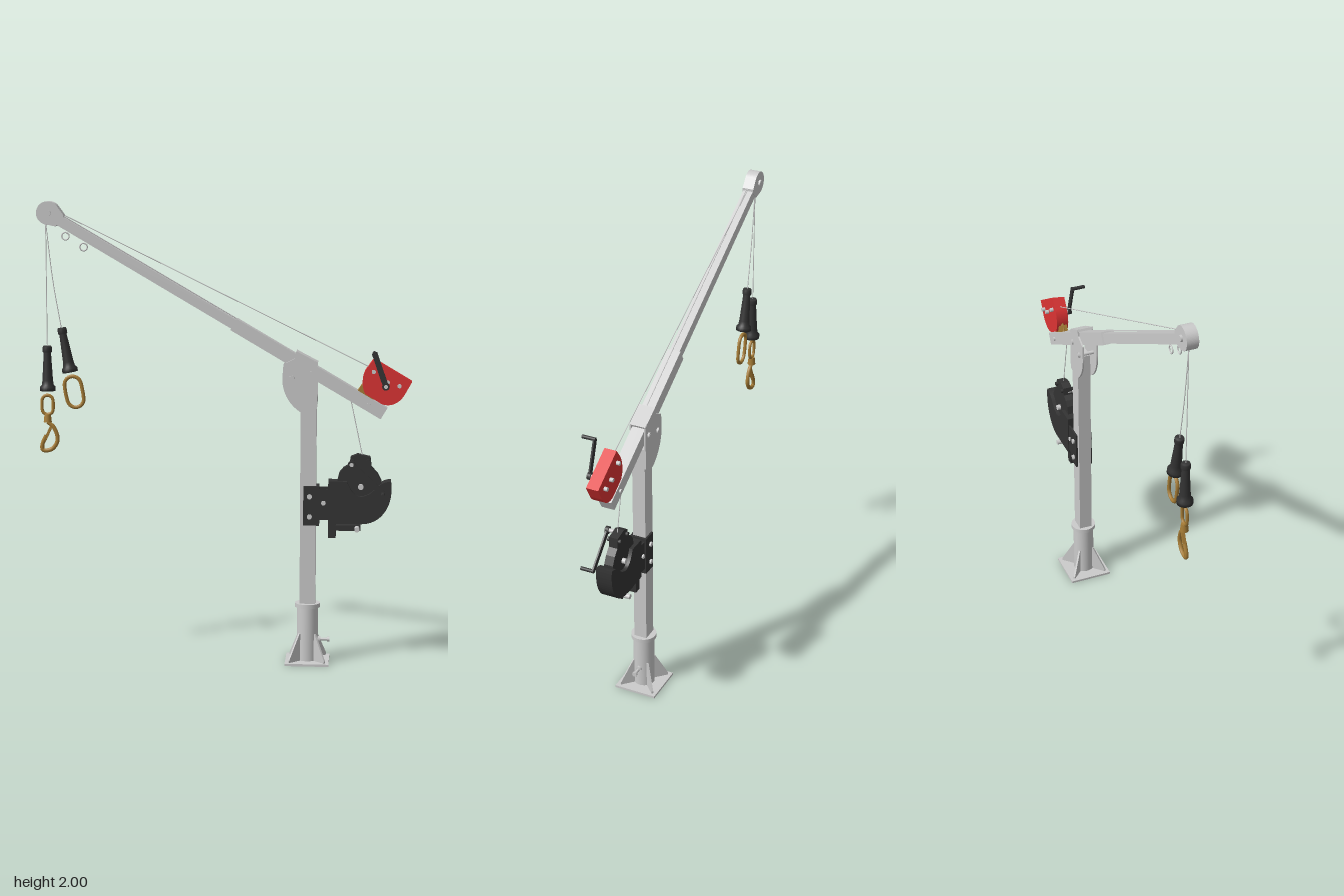
import * as THREE from 'three';

const mat = (color) => new THREE.MeshStandardMaterial({ color, side: THREE.DoubleSide });
const grey = mat(0xcccccc), black = mat(0x333333), red = mat(0xdd3333), gold = mat(0xa67c35);
const V = (x, y, z = 0) => new THREE.Vector3(x, y, z);

export function createModel() {
  const model = new THREE.Group();
  model.name = 'davitCrane';
  const root = new THREE.Group();
  root.name = 'craneAssembly';
  root.position.z = -0.017;
  model.add(root);

  const add = (name, geo, m, x = 0, y = 0, z = 0, rz = 0) => {
    const mesh = new THREE.Mesh(geo, m);
    mesh.name = name;
    mesh.position.set(x, y, z);
    mesh.rotation.z = rz;
    root.add(mesh);
    return mesh;
  };
  const box = (name, w, h, d, m, x, y, z = 0, rz = 0) => add(name, new THREE.BoxGeometry(w, h, d), m, x, y, z, rz);
  // Bar of rectangular section between two points in a plane of constant z
  const bar = (name, a, b, h, d, m, z = 0) =>
    box(name, Math.hypot(b[0] - a[0], b[1] - a[1]), h, d, m, (a[0] + b[0]) / 2, (a[1] + b[1]) / 2, z,
      Math.atan2(b[1] - a[1], b[0] - a[0]));
  // Cylinder along z, from z0 to z1
  const pin = (name, x, y, r, z0, z1, m, sides = 16) =>
    add(name, new THREE.CylinderGeometry(r, r, z1 - z0, sides).rotateX(Math.PI / 2), m, x, y, (z0 + z1) / 2);
  // Flat shape in xy, extruded symmetrically about z
  const plate = (name, shape, depth, m, z = 0) => {
    const s = Array.isArray(shape) ? new THREE.Shape(shape.map((p) => new THREE.Vector2(...p))) : shape;
    const geo = new THREE.ExtrudeGeometry(s, { depth, bevelEnabled: false, curveSegments: 20 });
    return add(name, geo.translate(0, 0, -depth / 2), m, 0, 0, z);
  };
  const tube = (name, pts, r, m, closed = false) =>
    add(name, new THREE.TubeGeometry(new THREE.CatmullRomCurve3(pts, closed), pts.length > 2 ? 40 : 1, r, 8, closed), m);

  // Base: plate, socket, collar, gussets, locking pin
  const px = 0.363;
  box('basePlate', 0.19, 0.01, 0.19, grey, px, 0.005);
  add('baseSocket', new THREE.CylinderGeometry(0.046, 0.046, 0.25, 32), grey, px, 0.13);
  add('socketCollar', new THREE.CylinderGeometry(0.055, 0.055, 0.018, 32), grey, px, 0.254);
  for (let i = 0; i < 4; i++) {
    const g = plate('baseGusset', [[0.04, 0.008], [0.11, 0.008], [0.11, 0.02], [0.05, 0.13], [0.04, 0.13]], 0.008, grey);
    g.position.x = px;
    g.rotation.y = Math.PI / 4 + i * Math.PI / 2;
  }
  add('lockingPin', new THREE.CylinderGeometry(0.006, 0.006, 0.06, 10), grey, 0.43, 0.1, 0, Math.PI / 2);
  add('lockingPinHead', new THREE.CylinderGeometry(0.011, 0.011, 0.01, 10), grey, 0.455, 0.1, 0, Math.PI / 2);
  add('lockingPinNut', new THREE.CylinderGeometry(0.013, 0.013, 0.012, 6), grey, 0.414, 0.1, 0, Math.PI / 2);

  // Post and pivot bracket
  box('post', 0.068, 0.96, 0.058, grey, px, 0.73);
  const bracket = new THREE.Shape();
  bracket.moveTo(0.31, 1.367);
  bracket.lineTo(0.4, 1.318);
  bracket.lineTo(0.4, 1.12);
  bracket.lineTo(0.335, 1.1);
  bracket.bezierCurveTo(0.27, 1.14, 0.25, 1.2, 0.25, 1.25);
  bracket.lineTo(0.255, 1.31);
  bracket.lineTo(0.305, 1.335);
  bracket.closePath();
  for (const s of [-1, 1]) plate('pivotCheek', bracket, 0.007, grey, s * 0.0325);
  bar('pivotTopPlate', [0.308, 1.362], [0.4, 1.314], 0.01, 0.07, grey);
  for (const [x, y] of [[0.372, 1.27], [0.29, 1.25]]) {
    pin('pivotBolt', x, y, 0.008, -0.045, 0.045, grey);
    for (const s of [-1, 1]) pin('pivotNut', x, y, 0.013, s * 0.04 - 0.004, s * 0.04 + 0.004, grey, 6);
  }

  // Boom: outer sleeve, telescoping inner arm, tip
  const boomY = (x) => 1.947 - (x + 0.76) * 0.586;
  const at = (x) => [x, boomY(x)];
  bar('boomSleeve', at(0.04), at(0.685), 0.055, 0.058, grey);
  bar('boomArm', at(-0.74), at(0.1), 0.043, 0.044, grey);
  pin('boomEndBolt', 0.62, boomY(0.62), 0.009, -0.036, 0.036, grey);
  const tip = new THREE.Shape();
  tip.absarc(-0.757, 1.949, 0.05, 0.7, Math.PI * 1.5, false);
  tip.lineTo(-0.725, 1.892);
  tip.lineTo(-0.69, 1.925);
  tip.lineTo(-0.69, 1.942);
  tip.closePath();
  plate('boomTip', tip, 0.05, grey);
  pin('tipAxle', -0.757, 1.949, 0.014, -0.034, 0.034, grey);
  for (const [x, y] of [[-0.685, 1.85], [-0.607, 1.804]])
    add('cableEye', new THREE.TorusGeometry(0.016, 0.003, 8, 24), grey, x, y);

  // Cables
  tube('upperCable', [V(-0.74, 1.965), V(0.64, 1.29)], 0.002, grey);
  tube('boomCable', [V(-0.72, 1.953, 0.008), V(0.34, 1.335, 0.008)], 0.002, grey);
  tube('lowerCable', [V(0.54, 1.17), V(0.6, 0.89)], 0.002, grey);
  tube('mainDropCable', [V(-0.77, 1.91), V(-0.77, 1.36)], 0.002, grey);
  tube('sideDropCable', [V(-0.77, 1.91), V(-0.742, 1.66), V(-0.705, 1.44)], 0.002, grey);

  // Rubber grips over the cable ends
  const gripProfile = [[0.001, 0.1], [0.017, 0.1], [0.02, 0.094], [0.02, 0.075], [0.016, 0.07],
    [0.023, -0.05], [0.026, -0.07], [0.034, -0.078], [0.034, -0.095], [0.001, -0.095]];
  const grip = (x, y, rz) => {
    add('cableGrip', new THREE.LatheGeometry(gripProfile.map((p) => new THREE.Vector2(...p)), 24), black, x, y, 0, rz);
  };
  grip(-0.77, 1.277, 0);
  grip(-0.688, 1.358, 0.18);

  // Oval link with straight sides
  const link = (name, x, y, w, h, r, rz = 0) => {
    const pts = [];
    for (let i = 0; i < 16; i++) {
      const a = (i + 0.5) / 16 * Math.PI * 2;
      pts.push(V(Math.cos(a) * w, Math.sin(a) * w + Math.sign(Math.sin(a)) * (h - w)));
    }
    const m = tube(name, pts, r, gold, true);
    m.position.set(x, y, 0);
    m.rotation.z = rz;
  };
  link('sideLink', -0.655, 1.178, 0.036, 0.068, 0.008, 0.18);
  link('swivelLink', -0.772, 1.12, 0.024, 0.042, 0.007);
  add('hookSwivel', new THREE.CylinderGeometry(0.014, 0.018, 0.035, 16), gold, -0.772, 1.062);
  tube('hook', [V(-0.772, 1.045), V(-0.745, 1.02), V(-0.73, 0.965), V(-0.757, 0.925), V(-0.795, 0.922),
    V(-0.797, 0.945), V(-0.78, 0.985)], 0.009, gold);
  bar('hookGate', [-0.785, 0.965], [-0.755, 1.03], 0.011, 0.014, gold);

  // Crank with axle at a, and handle at b
  const crank = (name, a, b) => {
    bar(name + 'Arm', a, b, 0.024, 0.007, black, 0.068);
    pin(name + 'Hub', ...a, 0.016, 0.06, 0.076, black);
    pin(name + 'Axle', ...a, 0.009, 0, 0.078, grey);
    pin(name + 'Handle', ...b, 0.008, 0.065, 0.125, black);
  };

  // Red winch on the boom end
  const redShape = new THREE.Shape();
  redShape.moveTo(0.64, 1.335);
  redShape.lineTo(0.803, 1.238);
  redShape.lineTo(0.772, 1.182);
  redShape.bezierCurveTo(0.74, 1.13, 0.69, 1.13, 0.665, 1.148);
  redShape.lineTo(0.605, 1.184);
  redShape.bezierCurveTo(0.585, 1.22, 0.59, 1.27, 0.615, 1.3);
  redShape.closePath();
  plate('boomWinchHousing', redShape, 0.054, red);
  bar('boomWinchClamp', [0.575, 1.2], [0.64, 1.162], 0.05, 0.036, gold);
  tube('boomWinchStrap', [V(0.605, 1.235), V(0.57, 1.185)], 0.007, gold);
  for (const [x, y] of [[0.64, 1.28], [0.7, 1.315 - 0.08], [0.75, 1.22]]) pin('boomWinchBolt', x, y, 0.009, -0.042, 0.034, grey, 12);
  crank('boomWinchCrank', [0.692, 1.222], [0.642, 1.365]);

  // Black winch on the post: clamp plates, mount, drum, housing
  for (const s of [-1, 1]) {
    box('winchClampPlate', 0.068, 0.172, 0.008, black, 0.377, 0.697, s * 0.034);
    for (const y of [0.65, 0.738]) pin('winchClampBolt', 0.37, y, 0.011, s * 0.041 - 0.005, s * 0.041 + 0.005, grey, 12);
    box('winchMountLug', 0.05, 0.135, 0.008, black, 0.43, 0.703, s * 0.028);
    pin('winchMountBolt', 0.43, 0.71, 0.01, s * 0.034 - 0.005, s * 0.034 + 0.005, grey, 12);
  }
  box('winchClampBack', 0.012, 0.172, 0.076, black, 0.405, 0.697);
  box('winchMountCore', 0.05, 0.1, 0.03, black, 0.43, 0.703);
  box('winchBackPlate', 0.032, 0.25, 0.05, black, 0.467, 0.68);
  plate('winchDrumGuard', [[0.485, 0.7], [0.487, 0.8], [0.497, 0.84], [0.515, 0.862], [0.54, 0.876], [0.545, 0.91],
    [0.575, 0.922], [0.63, 0.91], [0.635, 0.866], [0.66, 0.84], [0.678, 0.805], [0.685, 0.75], [0.65, 0.68]], 0.04, black);
  const housing = new THREE.Shape();
  housing.moveTo(0.45, 0.62);
  housing.lineTo(0.45, 0.805);
  housing.lineTo(0.53, 0.805);
  housing.bezierCurveTo(0.55, 0.75, 0.58, 0.73, 0.61, 0.745);
  housing.bezierCurveTo(0.65, 0.755, 0.66, 0.805, 0.718, 0.808);
  housing.bezierCurveTo(0.735, 0.72, 0.69, 0.62, 0.59, 0.62);
  housing.closePath();
  plate('winchHousing', housing, 0.072, black);
  pin('winchDrumAxle', 0.59, 0.782, 0.012, -0.036, 0.036, grey);
  for (const x of [0.555, 0.62]) pin('winchGuideBolt', x, 0.893, 0.009, -0.03, 0.03, black, 12);
  box('winchFoot', 0.115, 0.024, 0.03, black, 0.532, 0.598);
  pin('winchFootPin', 0.575, 0.598, 0.011, -0.045, 0.055, grey);
  crank('postWinchCrank', [0.55, 0.885], [0.685, 0.76]);

  return model;
}
